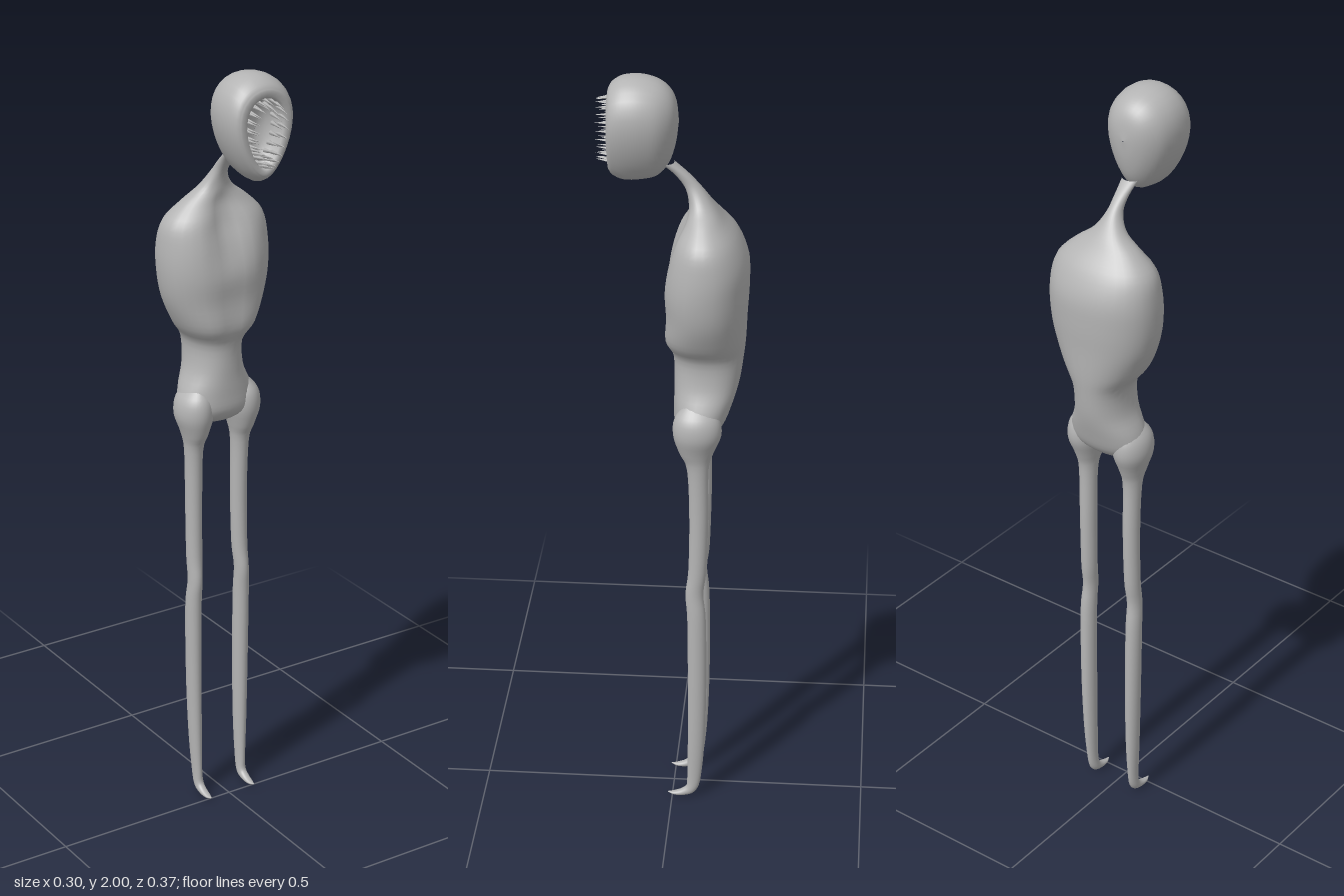
import * as THREE from 'three';

const SEG = 32;

// Smoothly resample rows of numbers, n steps between neighbours
function smooth(rows, n) {
  const size = rows[0].length;
  const curve = new THREE.CubicInterpolant(rows.map((_, i) => i), rows.flat(), size, new Float32Array(size));
  const out = [];
  for (let i = 0; i <= (rows.length - 1) * n; i++) out.push(Array.from(curve.evaluate(i / n)));
  return out;
}

// Skin rows of [x, y, z, half width, half depth, tilt, ...extra]; shape(angle, extra) gives a unit outline
function loft(rows, shape) {
  const pos = [], index = [];
  for (const [x, y, z, rx, rd, tilt, extra] of rows) {
    for (let i = 0; i < SEG; i++) {
      const [u, v] = shape((i / SEG) * Math.PI * 2, extra);
      pos.push(x + u * rx, y + v * rd * Math.sin(tilt), z + v * rd * Math.cos(tilt));
    }
  }
  for (let j = 0; j < rows.length - 1; j++) {
    for (let i = 0; i < SEG; i++) {
      const a = j * SEG + i, b = j * SEG + (i + 1) % SEG;
      index.push(a, b, b + SEG, a, b + SEG, a + SEG);
    }
  }
  const geo = new THREE.BufferGeometry();
  geo.setAttribute('position', new THREE.Float32BufferAttribute(pos, 3));
  geo.setIndex(index);
  geo.computeVertexNormals();
  return geo;
}

const round = (a) => [Math.cos(a), Math.sin(a)];
const egg = (a) => [Math.cos(a) * (1 + 0.28 * Math.sin(a)), Math.sin(a)];
// Oval with a soft groove down the front centre
const chest = (a, groove) => {
  const c = Math.cos(a), s = Math.sin(a);
  return [Math.sign(c) * Math.abs(c) ** 0.92, Math.sign(s) * Math.abs(s) ** 0.92 + (s < 0 ? groove * Math.exp(-c * c * 12) * -s : 0)];
};

export function createModel() {
  const model = new THREE.Group();
  const skin = new THREE.MeshStandardMaterial({ color: 0xb4b4b4 });
  skin.name = 'grey skin';
  const add = (name, geo, parent = model) => {
    const mesh = new THREE.Mesh(geo, skin);
    mesh.name = name;
    parent.add(mesh);
    return mesh;
  };

  // Pelvis, waist, ribcage, shoulders and neck: [y, half width, front z, back z, groove]
  const body = [
    [1.066, 0.001, -0.06, -0.062, 0],
    [1.07, 0.05, -0.03, -0.09, 0],
    [1.1, 0.1, -0.003, -0.125, 0],
    [1.15, 0.097, 0, -0.145, 0],
    [1.21, 0.073, 0, -0.162, 0],
    [1.28, 0.071, 0.002, -0.172, 0],
    [1.33, 0.103, 0.027, -0.177, 0.1],
    [1.4, 0.134, 0.025, -0.18, 0.1],
    [1.47, 0.147, 0.028, -0.184, 0.1],
    [1.54, 0.147, 0.02, -0.182, 0.25],
    [1.6, 0.134, 0.002, -0.158, 0.4],
    [1.645, 0.09, -0.025, -0.122, 0.3],
    [1.68, 0.045, -0.035, -0.097, 0],
    [1.72, 0.02, -0.026, -0.068, 0],
    [1.755, 0.017, 0.0, -0.036, 0],
    [1.785, 0.022, 0.035, 0.0, 0],
  ];
  add('torsoAndNeck', loft(smooth(body.map(([y, w, f, b, g]) =>
    [0.002, y, (f + b) / 2, w, (f - b) / 2, Math.PI, g]), 4), chest));

  // Head, skinned from back to face: [z, half width, bottom y, top y]
  const toRow = ([z, w, lo, hi]) => [0.004, (lo + hi) / 2, z, w, (hi - lo) / 2, Math.PI / 2];
  const skull = [
    [-0.011, 0.001, 1.889, 1.891],
    [-0.004, 0.033, 1.835, 1.94],
    [0.012, 0.058, 1.785, 1.97],
    [0.04, 0.078, 1.752, 1.99],
    [0.08, 0.087, 1.741, 2.0],
    [0.12, 0.086, 1.739, 1.997],
    [0.147, 0.078, 1.75, 1.982],
    [0.157, 0.066, 1.763, 1.967],
  ];
  // Mouth hollow behind the flat face
  const mouth = [
    [0.157, 0.055, 1.772, 1.956],
    [0.152, 0.05, 1.777, 1.95],
    [0.125, 0.044, 1.785, 1.942],
    [0.108, 0.028, 1.815, 1.915],
    [0.104, 0.001, 1.864, 1.866],
  ];
  add('head', loft([...smooth(skull.map(toRow), 4), ...mouth.map(toRow)], egg));

  // Two rows of needle teeth around the mouth
  const teeth = new THREE.Group();
  teeth.name = 'teeth';
  model.add(teeth);
  const needle = new THREE.ConeGeometry(0.006, 0.055, 6).rotateX(Math.PI / 2);
  for (const [count, w, h, z] of [[22, 0.046, 0.08, 0.16], [18, 0.035, 0.064, 0.147]]) {
    for (let i = 0; i < count; i++) {
      const [u, v] = egg(((i + 0.5) / count) * Math.PI * 2);
      const tooth = add('tooth', needle, teeth);
      tooth.position.set(0.004 + u * w, 1.864 + v * h, z);
      tooth.rotation.set(v * 0.15, -u * 0.15, 0);
    }
  }

  // Legs: [x, y, z, half width, half depth, tilt], hip down to the pointed toe
  const leg = [
    [0.066, 1.17, -0.062, 0.015, 0.03, 0],
    [0.069, 1.135, -0.062, 0.041, 0.056, 0],
    [0.07, 1.09, -0.062, 0.046, 0.06, 0],
    [0.069, 1.04, -0.06, 0.032, 0.043, 0],
    [0.069, 0.99, -0.064, 0.023, 0.027, 0],
    [0.068, 0.85, -0.067, 0.021, 0.024, 0],
    [0.069, 0.7, -0.064, 0.02, 0.023, 0],
    [0.071, 0.63, -0.057, 0.018, 0.023, 0],
    [0.073, 0.55, -0.063, 0.02, 0.024, 0],
    [0.072, 0.35, -0.065, 0.019, 0.024, 0],
    [0.07, 0.18, -0.063, 0.016, 0.022, 0],
    [0.068, 0.07, -0.058, 0.012, 0.018, 0.1],
    [0.067, 0.03, -0.05, 0.012, 0.015, 0.7],
    [0.067, 0.016, -0.03, 0.011, 0.01, 1.3],
    [0.067, 0.011, -0.005, 0.008, 0.005, 1.57],
    [0.067, 0.013, 0.012, 0.001, 0.001, 1.57],
  ];
  for (const [name, side] of [['leftLeg', 1], ['rightLeg', -1]]) {
    const rows = leg.map(([x, ...rest]) => [x * side + 0.004, ...rest]);
    add(name, loft(smooth(rows, 4), round));
  }

  return model;
}
